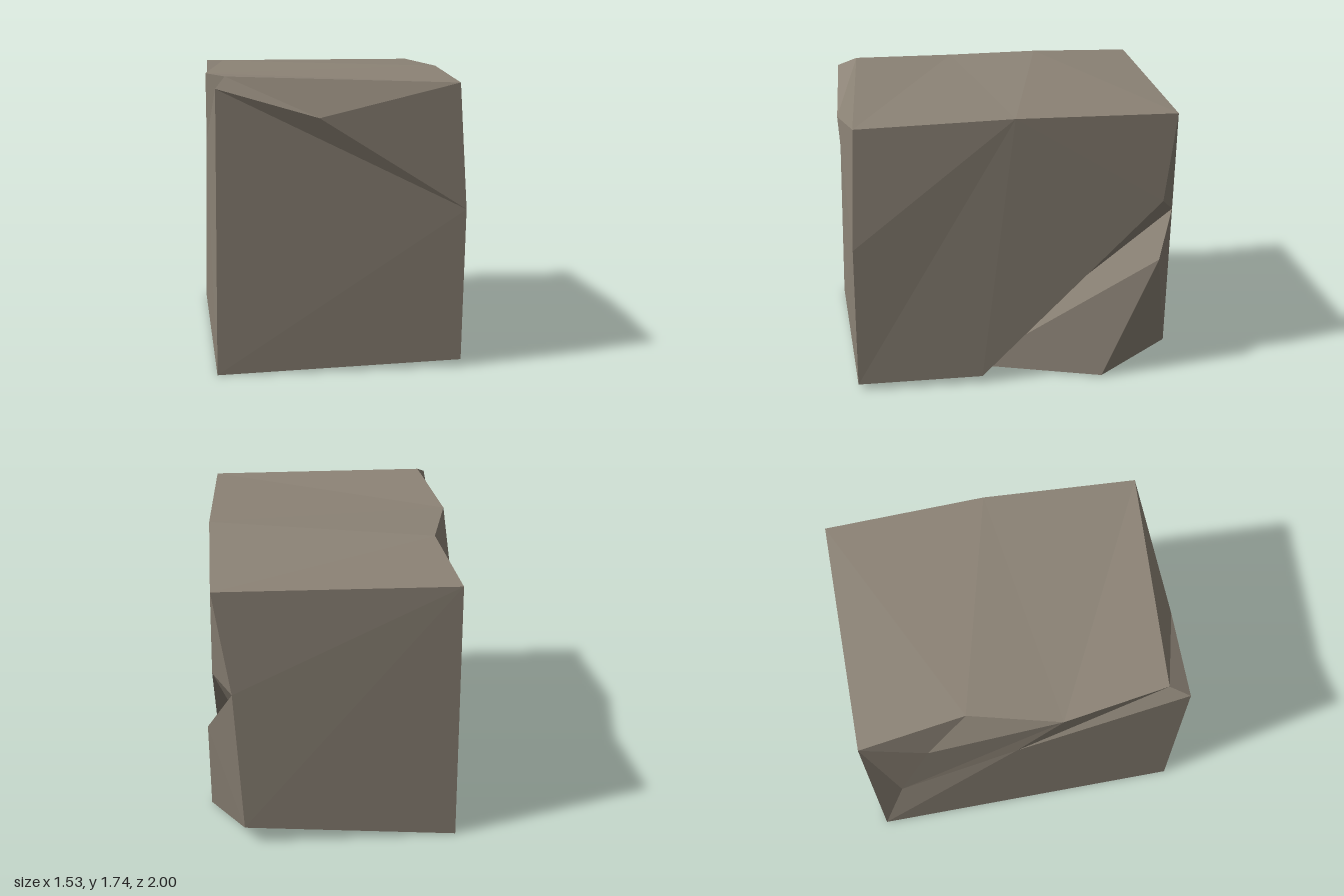
import * as THREE from 'three';

export function createModel() {
  const group = new THREE.Group();
  group.name = 'stoneBlock';

  const stone = new THREE.MeshStandardMaterial({ color: 0x8c8376 });
  stone.name = 'warm grey stone';

  // Corners of the chipped block
  const corners = {
    // top rim
    A: [-0.68, 1.73, 0.84], B: [0.68, 1.69, 0.94], C: [0.72, 1.72, 0],
    D: [0.70, 1.70, -0.98], E: [-0.72, 1.70, -0.99], G: [-0.64, 1.74, -0.35], H: [-0.77, 1.70, 0.20],
    // front chip
    I: [-0.74, 1.67, 0.96], J: [-0.15, 1.50, 1.0], K: [0.72, 0.95, 0.97],
    // base
    F: [0.70, 0.04, 0.97], R: [-0.75, 0, 0.99], Q: [-0.75, 0, -0.97], U: [0.76, 0.01, -0.55], W: [0.55, 0.12, -1],
    // groove across the +x side
    S: [0.72, 0.045, 0.20], s: [0.52, 0.02, 0.24], T: [0.71, 1.15, -0.91], t: [0.60, 1.05, -1], V: [0.75, 0.78, -0.89],
    // ridge and chips on the -x side
    l: [-0.73, 1.43, -0.60], m: [-0.71, 0.65, -0.81], n: [-0.76, 1.25, -0.07],
  };

  // Triangles per side, counter-clockwise from outside
  const sides = {
    topFace: 'ABH HBC HCG GCD GDE',
    frontFace: 'AIJ AJB JKB IKJ IRK RFK',
    grooveSide: 'CBK CKF CFS CST CTD DTt TSs Tst tsV VsU VUW tVW',
    backFace: 'EDt EtW EWQ',
    ridgeSide: 'GEl HGl Eml EQm Hlm Hmn mQn QRn RIn IAn AHn',
    baseFace: 'QWU QUR UsR sSR SFR',
  };

  for (const [name, faces] of Object.entries(sides)) {
    const points = [...faces.replaceAll(' ', '')].flatMap((key) => corners[key]);
    const geometry = new THREE.BufferGeometry();
    geometry.setAttribute('position', new THREE.Float32BufferAttribute(points, 3));
    geometry.computeVertexNormals(); // unshared corners keep every facet flat
    const mesh = new THREE.Mesh(geometry, stone);
    mesh.name = name;
    group.add(mesh);
  }
  return group;
}
